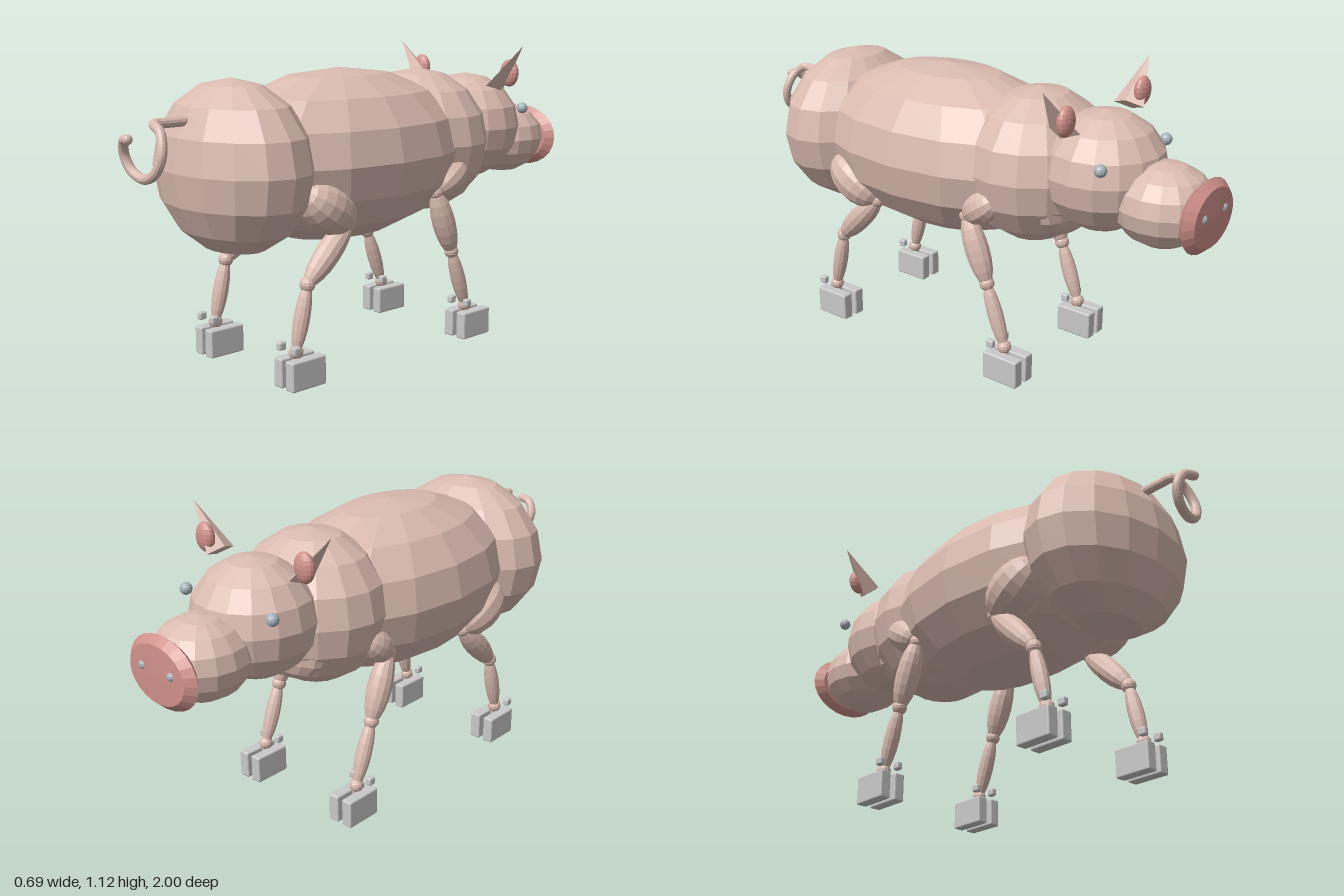
import * as THREE from 'three';
import { RoundedBoxGeometry } from 'three/addons/geometries/RoundedBoxGeometry.js';

export function createModel() {
  const make = (name, color) => {
    const m = new THREE.MeshStandardMaterial({ color, flatShading: true });
    m.name = name;
    return m;
  };
  const skin = make('skin', 0xdabbb0);
  const pink = make('pink', 0xd0918a);
  const hoofGrey = make('hoofGrey', 0xc9c9c9);
  const eyeGrey = make('eyeGrey', 0xa8b4bb);

  const pig = new THREE.Group();
  pig.name = 'pig';
  const V = (x, y, z) => new THREE.Vector3(x, y, z);
  const up = V(0, 1, 0);

  const add = (parent, name, geometry, material, pos) => {
    const mesh = new THREE.Mesh(geometry, material);
    mesh.name = name;
    mesh.position.copy(pos);
    parent.add(mesh);
    return mesh;
  };
  const ball = (parent, name, pos, r, material = skin, w = 16, h = 8) => {
    const mesh = add(parent, name, new THREE.SphereGeometry(1, w, h), material, pos);
    mesh.scale.set(...r);
    return mesh;
  };
  // Spindle-shaped limb piece between two joints
  const limb = (parent, name, a, b, r, extra = 0) => {
    const mid = a.clone().lerp(b, 0.5);
    const mesh = ball(parent, name, mid, [r, a.distanceTo(b) / 2 + extra, r], skin, 12, 10);
    mesh.quaternion.setFromUnitVectors(up, b.clone().sub(a).normalize());
    return mesh;
  };

  // Torso and head
  ball(pig, 'rump', V(0, 0.74, 0.585), [0.34, 0.302, 0.235]);
  ball(pig, 'body', V(0, 0.742, 0.11), [0.346, 0.313, 0.58]);
  ball(pig, 'shoulders', V(0, 0.755, -0.3), [0.29, 0.28, 0.26]);
  ball(pig, 'jowl', V(0, 0.66, -0.45), [0.2, 0.13, 0.065]);
  ball(pig, 'head', V(0, 0.79, -0.575), [0.225, 0.212, 0.22]);
  ball(pig, 'muzzle', V(0, 0.72, -0.81), [0.17, 0.146, 0.175]);

  // Flat snout disc facing -z
  const profile = [[0, -0.032], [0.8, -0.028], [1, 0], [0.8, 0.026], [0, 0.028]];
  const snoutGeo = new THREE.LatheGeometry(profile.map(p => new THREE.Vector2(...p)), 24);
  snoutGeo.rotateX(Math.PI / 2);
  add(pig, 'snout', snoutGeo, pink, V(0, 0.715, -0.962)).scale.set(0.166, 0.126, 1);

  for (const s of [1, -1]) {
    ball(pig, 'nostril', V(s * 0.07, 0.73, -0.985), [0.017, 0.017, 0.015], eyeGrey, 12, 8);
    ball(pig, 'eye', V(s * 0.21, 0.865, -0.688), [0.022, 0.022, 0.022], eyeGrey, 12, 8);

    // Ear: flattened four-sided cone leaning outward
    const ear = add(pig, 'ear', new THREE.ConeGeometry(0.06, 0.2, 4), skin, V(s * 0.262, 1.042, -0.54));
    ear.scale.x = 0.5;
    ear.rotation.z = -s * 0.69;
    ball(pig, 'innerEar', V(s * 0.237, 1.012, -0.57), [0.042, 0.053, 0.025], pink, 16, 10);
  }

  // Legs: z and y of the joints, dewclaw and hoof positions
  const legs = [
    { name: 'hindLeg', x: 0.236, hipTop: [0.47, 0.67], knee: [0.27, 0.54], hock: [0.457, 0.352],
      ankle: [0.51, 0.125], claw: 0.542, hoof: 0.493, hipR: 0.088, extra: 0.008 },
    { name: 'frontLeg', x: 0.236, hipTop: [-0.305, 0.69], knee: [-0.165, 0.59], hock: [-0.255, 0.352],
      ankle: [-0.335, 0.125], claw: -0.305, hoof: -0.351, hipR: 0.06, extra: 0.004 },
  ];
  for (const s of [1, -1]) for (const l of legs) {
    const leg = new THREE.Group();
    leg.name = l.name;
    pig.add(leg);
    const at = ([z, y]) => V(s * l.x, y, z);
    const knee = at(l.knee), hock = at(l.hock), ankle = at(l.ankle);
    limb(leg, 'thigh', at(l.hipTop), knee, l.hipR, l.extra);
    limb(leg, 'upperLeg', knee, hock, 0.045, 0.01);
    limb(leg, 'lowerLeg', hock, ankle, 0.029, 0.01);
    for (const [name, p, r] of [['knee', knee, 0.028], ['hock', hock, 0.028], ['ankle', ankle, 0.026]])
      ball(leg, name, p, [r, r, r], skin, 12, 8);
    add(leg, 'footCore', new THREE.CylinderGeometry(0.016, 0.016, 0.07, 10), skin, V(s * l.x, 0.092, l.ankle[0]));
    for (const side of [1, -1]) {
      add(leg, 'hoof', new RoundedBoxGeometry(0.043, 0.104, 0.146, 2, 0.006), hoofGrey,
        V(s * l.x + side * 0.031, 0.056, l.hoof));
      add(leg, 'dewclaw', new RoundedBoxGeometry(0.024, 0.03, 0.03, 2, 0.007), hoofGrey,
        V(s * l.x + side * 0.04, 0.145, l.claw));
    }
  }

  // Curly tail
  const tailPoints = [
    V(0, 0.91, 0.74), V(0, 0.91, 0.85), V(0.005, 0.91, 0.89), V(0.055, 0.888, 0.9), V(0.084, 0.822, 0.915),
    V(0.062, 0.762, 0.927), V(0.008, 0.738, 0.936), V(-0.048, 0.763, 0.948), V(-0.068, 0.815, 0.96),
    V(-0.045, 0.86, 0.972), V(-0.005, 0.868, 0.983),
  ];
  const curve = new THREE.CatmullRomCurve3(tailPoints);
  add(pig, 'tail', new THREE.TubeGeometry(curve, 60, 0.017, 12), skin, V(0, 0, 0));
  ball(pig, 'tailTip', tailPoints[tailPoints.length - 1], [0.017, 0.017, 0.017], skin, 12, 8);

  return pig;
}
